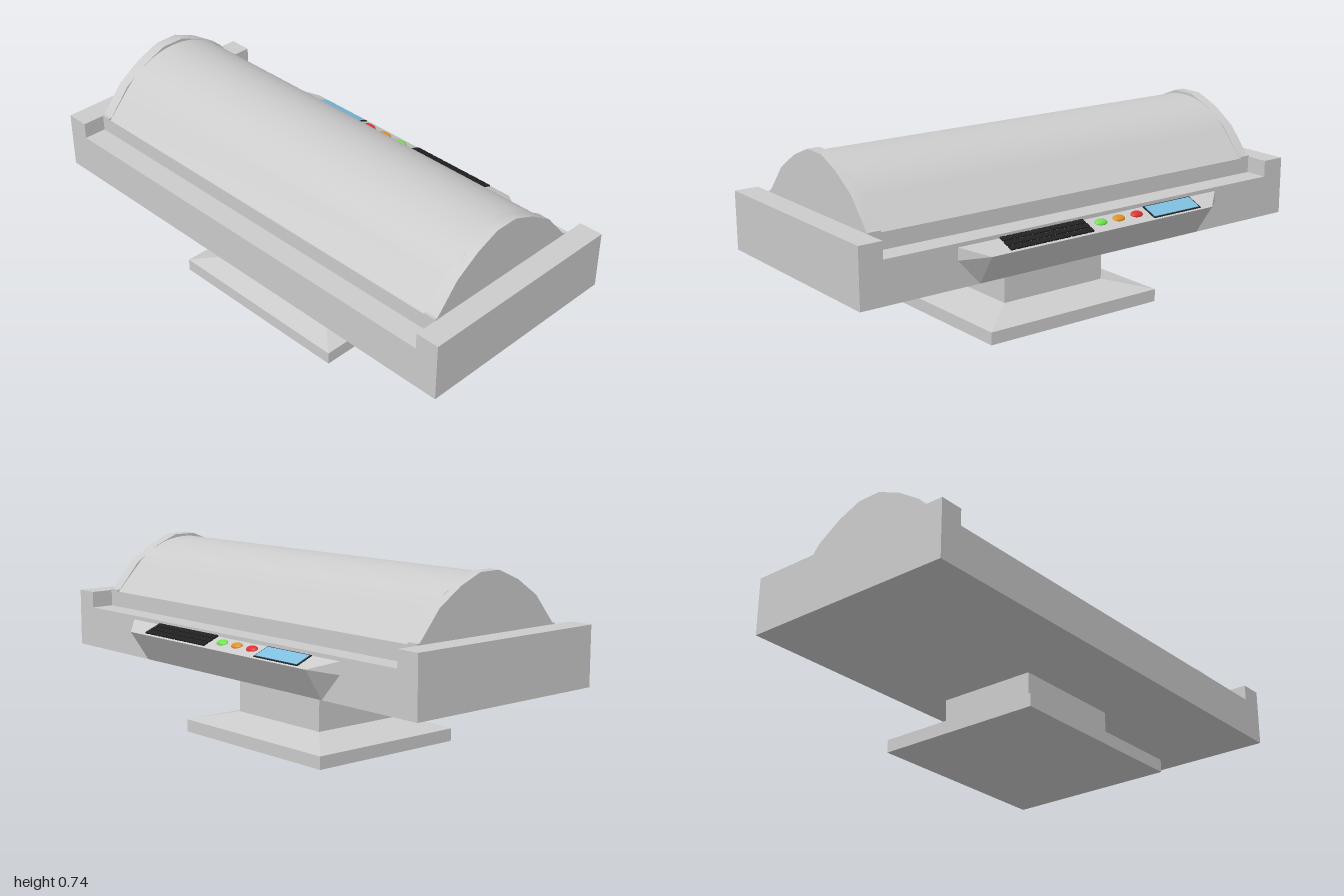
import * as THREE from 'three';
import { ConvexGeometry } from 'three/addons/geometries/ConvexGeometry.js';
import { toCreasedNormals } from 'three/addons/utils/BufferGeometryUtils.js';

const grey = new THREE.MeshStandardMaterial({ color: 0xcccccc });
const colour = (c) => new THREE.MeshStandardMaterial({ color: c });
const CX = -0.012; // centre line of pedestal and console
const CZ = 0.04;   // centre line of tray, pedestal and cover

export function createModel() {
  const model = new THREE.Group();
  model.name = 'model';

  const add = (parent, name, geometry, material = grey) => {
    const mesh = new THREE.Mesh(geometry, material);
    mesh.name = name;
    parent.add(mesh);
    return mesh;
  };

  // Solid between two centred rectangles at heights y0 and y1
  const frustum = (y0, [w0, d0], y1, [w1, d1]) => {
    const points = [];
    for (const [y, w, d] of [[y0, w0, d0], [y1, w1, d1]])
      for (const sx of [-1, 1])
        for (const sz of [-1, 1])
          points.push(new THREE.Vector3(CX + sx * w, y, CZ + sz * d));
    return new ConvexGeometry(points);
  };

  // Extrude a (z, y) outline along x from x0 to x1
  const extrudeAcross = (shape, x0, x1) => {
    const geometry = new THREE.ExtrudeGeometry(shape, {
      depth: x1 - x0, bevelEnabled: false, curveSegments: 24,
    });
    geometry.rotateY(-Math.PI / 2).translate(x1, 0, CZ);
    return toCreasedNormals(geometry, 0.4);
  };

  // Pedestal: foot, sloped shoulder, column, flared support
  const foot = [0.402, 0.34], column = [0.238, 0.2];
  add(model, 'foot', frustum(0, foot, 0.05, foot));
  add(model, 'footSlope', frustum(0.05, foot, 0.09, column));
  add(model, 'column', frustum(0.09, column, 0.23, column));
  add(model, 'support', frustum(0.23, column, 0.29, [0.522, 0.44]));

  // Tray with a channel running front to back between two side rails
  const tray = new THREE.Shape([
    [-1, 0.29], [1, 0.29], [1, 0.52], [0.905, 0.52],
    [0.905, 0.455], [-0.905, 0.455], [-0.905, 0.52], [-1, 0.52],
  ].map(([x, y]) => new THREE.Vector2(x, y)));
  add(model, 'tray', new THREE.ExtrudeGeometry(tray, { depth: 0.88, bevelEnabled: false })
    .translate(0, 0, -0.4));

  // Plinth under the cover
  add(model, 'plinth', new THREE.BoxGeometry(1.81, 0.063, 0.694).translate(0, 0.4865, CZ));

  // Curved cover: straight skirts joined by an arc
  const cover = new THREE.Shape();
  const radius = 0.338, half = Math.asin(0.245 / radius);
  cover.moveTo(-0.346, 0.515);
  cover.lineTo(0.346, 0.515);
  cover.lineTo(0.245, 0.625);
  cover.absarc(0, 0.73 - radius, radius, Math.PI / 2 - half, Math.PI / 2 + half, false);
  cover.closePath();
  add(model, 'cover', extrudeAcross(cover, -0.87, 0.87));

  // Faceted arched end plates
  const arch = [[0.35, 0.515], [0.35, 0.526], [0.338, 0.526], [0.245, 0.635], [0.145, 0.7], [0.048, 0.74]];
  const outline = [...arch, ...arch.map(([z, y]) => [-z, y]).reverse()];
  const endPlate = new THREE.Shape(outline.map(([z, y]) => new THREE.Vector2(z, y)));
  add(model, 'rightEndPlate', extrudeAcross(endPlate, -0.905, -0.86));
  add(model, 'leftEndPlate', extrudeAcross(endPlate, 0.855, 0.905));

  // Console wedge on the back
  const corners = [];
  for (const s of [-1, 1])
    for (const [x, y, z] of [[0.615, 0.44, -0.4], [0.615, 0.392, -0.4], [0.526, 0.408, -0.478], [0.522, 0.29, -0.4]])
      corners.push(new THREE.Vector3(CX + s * x, y, z));
  add(model, 'console', new ConvexGeometry(corners));

  // Controls lie on the sloping top of the console
  const controls = new THREE.Group();
  controls.name = 'controls';
  controls.position.set(0, 0.4245, -0.438);
  controls.rotation.x = -0.39;
  model.add(controls);

  const black = colour(0x222222);
  add(controls, 'screenFrame', new THREE.BoxGeometry(0.24, 0.004, 0.074), black)
    .position.set(-0.365, 0.001, 0.003);
  add(controls, 'screen', new THREE.BoxGeometry(0.228, 0.006, 0.064), colour(0x7fbfe0))
    .position.set(-0.365, 0.002, 0.003);

  const buttons = [['stopButton', -0.19, 0xe03030], ['pauseButton', -0.102, 0xe09020], ['startButton', -0.015, 0x70e050]];
  for (const [name, x, c] of buttons) {
    const button = add(controls, name,
      new THREE.SphereGeometry(1, 20, 8, 0, Math.PI * 2, 0, Math.PI / 2), colour(c));
    button.scale.set(0.028, 0.011, 0.018);
    button.position.set(x, 0, 0.008);
  }

  // Keypad: three rows of small keys
  const keypad = new THREE.Group();
  keypad.name = 'keypad';
  controls.add(keypad);
  const keyShape = new THREE.BoxGeometry(0.023, 0.008, 0.022);
  for (let row = 0; row < 3; row++)
    for (let col = 0; col < 14; col++)
      add(keypad, 'key', keyShape, black)
        .position.set(0.06 + col * 0.0272, 0.002, -0.022 + row * 0.0265);

  return model;
}
